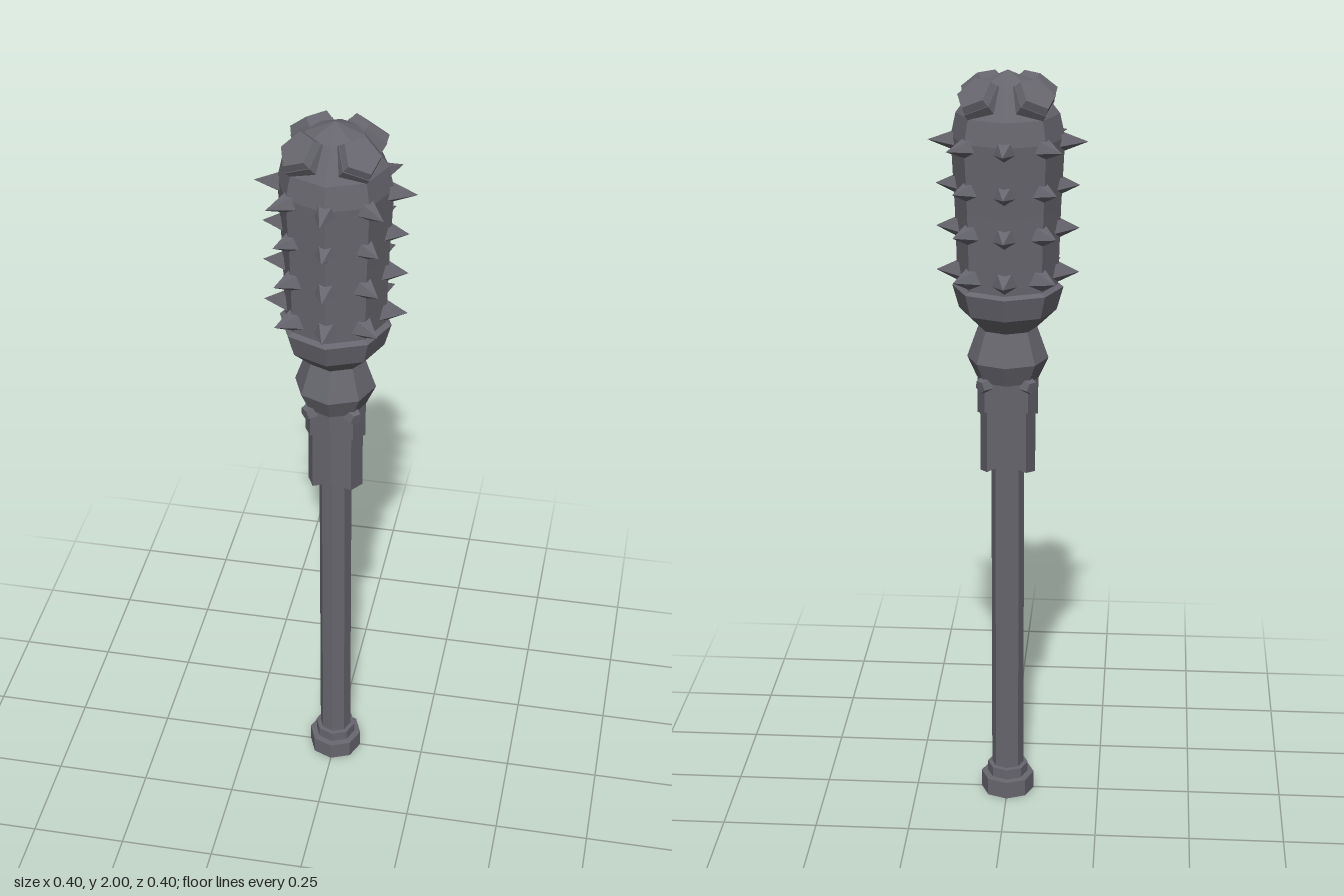
import * as THREE from 'three';

const iron = new THREE.MeshStandardMaterial({ color: 0x67666e });
iron.name = 'dark iron';

// Faceted mesh with one normal per face
function part(name, geometry, parent) {
  const flat = geometry.index ? geometry.toNonIndexed() : geometry;
  flat.computeVertexNormals();
  const mesh = new THREE.Mesh(flat, iron);
  mesh.name = name;
  parent.add(mesh);
  return mesh;
}

// Eight-sided turned shape; profile is [radius, height] from bottom to top
function turned(profile) {
  return new THREE.LatheGeometry(profile.map(([r, y]) => new THREE.Vector2(r, y)), 8);
}

// Octagonal sleeve whose lower rim rises to a notch at front and back
function sleeve(radius, notchY, slope, topY) {
  const g = turned([[0.035, 0], [radius, 0], [radius, topY], [0.035, topY]]);
  const p = g.attributes.position;
  for (let i = 0; i < p.count; i++) {
    if (p.getY(i) === 0) p.setY(i, notchY - slope * Math.abs(p.getX(i)));
  }
  return g;
}

// Group at an angle around the shaft, its local +y pointing outward and tilted up
function outward(name, angle, radius, y, elevation, parent) {
  const g = new THREE.Group();
  g.name = name;
  const dir = new THREE.Vector3(
    Math.sin(angle) * Math.cos(elevation), Math.sin(elevation), Math.cos(angle) * Math.cos(elevation));
  const side = new THREE.Vector3(Math.cos(angle), 0, -Math.sin(angle));
  const down = new THREE.Vector3().crossVectors(side, dir);
  g.quaternion.setFromRotationMatrix(new THREE.Matrix4().makeBasis(side, dir, down));
  g.position.set(Math.sin(angle) * radius, y, Math.cos(angle) * radius);
  parent.add(g);
  return g;
}

export function createModel() {
  const model = new THREE.Group();
  model.name = 'spikedMace';

  // Handle
  part('pommel', turned([[0, 0], [0.072, 0], [0.072, 0.048], [0.055, 0.05], [0.055, 0.078], [0.03, 0.08]]), model);
  part('shaft', turned([[0.043, 0.06], [0.043, 1.2]]), model);

  // Socket sleeves and flared neck
  part('lowerSleeve', sleeve(0.072, 0.985, 0.62, 1.19), model);
  part('upperSleeve', sleeve(0.079, 1.16, 0.75, 1.205), model);
  part('neck', turned([[0.06, 1.19], [0.08, 1.2], [0.105, 1.255], [0.075, 1.34]]), model);

  // Head: cup below, body and dome above
  part('headCup', turned([[0.05, 1.337], [0.075, 1.337], [0.125, 1.385], [0.142, 1.445], [0.125, 1.455]]), model);
  part('headBody', turned([
    [0.128, 1.44], [0.134, 1.65], [0.143, 1.83], [0.13, 1.89], [0.073, 1.965], [0, 1.997],
  ]), model);

  // Spikes: four rows of eight
  [[1.485, 0.182], [1.6, 0.182], [1.71, 0.182], [1.82, 0.201]].forEach(([y, tip], row) => {
    for (let i = 0; i < 8; i++) {
      const length = tip - 0.11;
      const g = outward(`spikeRow${row + 1}`, i * Math.PI / 4, 0.11, y, 0, model);
      part('spike', new THREE.ConeGeometry(0.036, length, 5).translate(0, length / 2, 0), g);
    }
  });

  // Pentagonal crown knobs and neck rivets on the diagonals
  for (let i = 0; i < 4; i++) {
    const angle = Math.PI / 4 + i * Math.PI / 2;
    const knob = outward('crownKnob', angle, 0.085, 1.925, 0.85, model);
    part('knobBase', new THREE.CylinderGeometry(0.058, 0.058, 0.04, 5), knob);
    part('knobCap', new THREE.CylinderGeometry(0.05, 0.056, 0.02, 5).translate(0, 0.03, 0), knob);
    const rivet = outward('neckRivet', angle, 0.078, 1.195, -0.15, model);
    part('rivet', new THREE.CylinderGeometry(0.018, 0.026, 0.034, 5), rivet);
  }

  return model;
}
